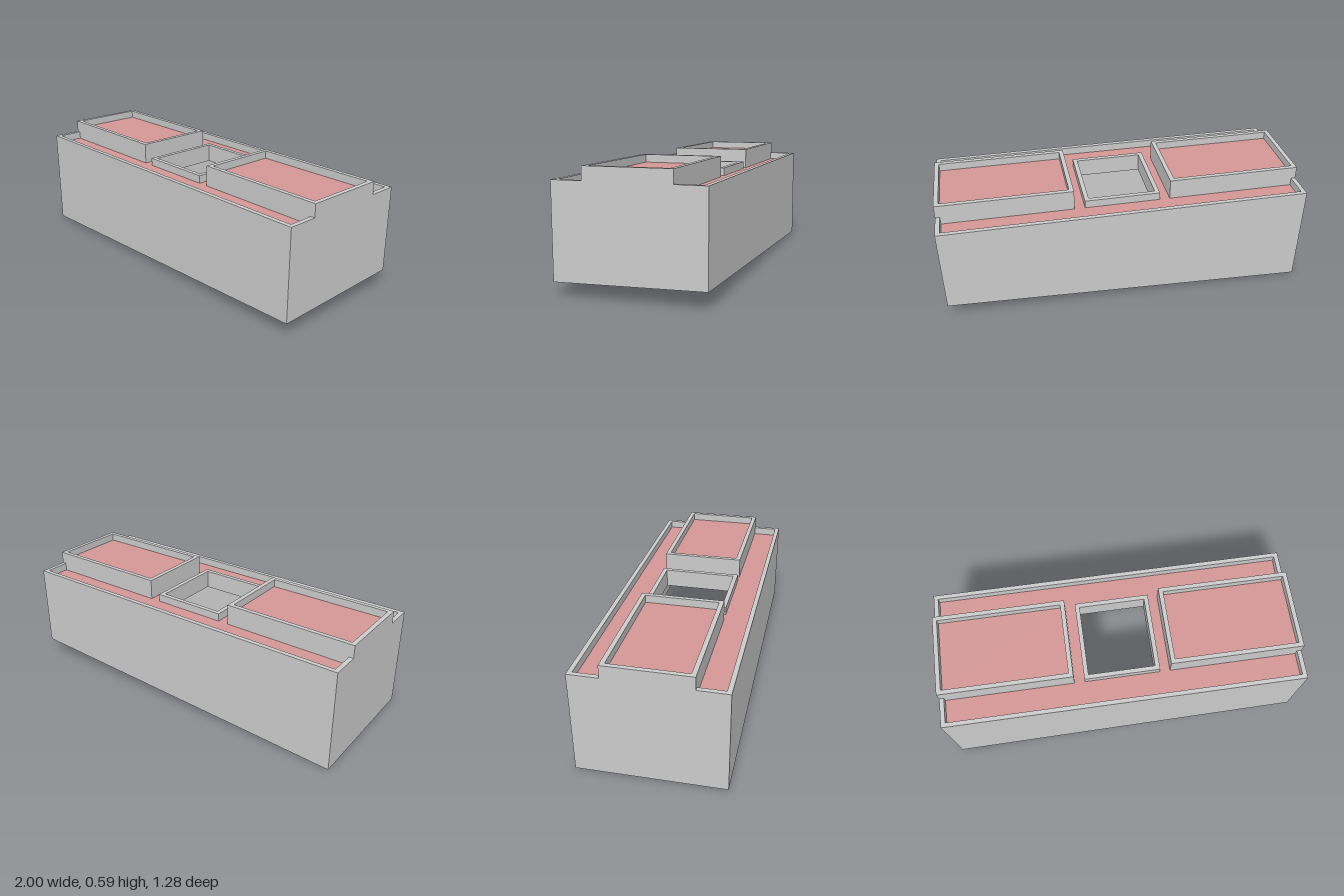
import * as THREE from 'three';

const grey = new THREE.MeshStandardMaterial({ color: 0xcccccc });
const greyThin = new THREE.MeshStandardMaterial({ color: 0xcccccc, side: THREE.DoubleSide });
const red = new THREE.MeshStandardMaterial({ color: 0xd59797 });

const HL = 0.933, HW = 0.362; // half length and half width of the building
const T = 0.023;              // wall and parapet thickness
const WALL_TOP = 0.525, WALL_BASE = 0.085, ROOF = 0.485, CEILING = 0.43;
const BLOCK_TOP = 0.59, BLOCK_INNER = 0.248, BLOCK_HW = 0.211;
const COURT_HL = 0.195, COURT_HW = 0.211;

function rect(cx, hl, hw, type = THREE.Shape) {
  return new type([[-hl, -hw], [hl, -hw], [hl, hw], [-hl, hw]]
    .map(([x, y]) => new THREE.Vector2(cx + x, y)));
}

function addMesh(group, name, geometry, material) {
  const mesh = new THREE.Mesh(geometry, material);
  mesh.name = name;
  group.add(mesh);
  return mesh;
}

// Rectangular ring of wall thickness T, standing from y0 to y1
function addRing(group, name, cx, hl, hw, y0, y1) {
  const shape = rect(cx, hl, hw);
  shape.holes.push(rect(cx, hl - T, hw - T, THREE.Path));
  const g = new THREE.ExtrudeGeometry(shape, { depth: y1 - y0, bevelEnabled: false });
  g.rotateX(-Math.PI / 2).translate(0, y0, 0);
  return addMesh(group, name, g, grey);
}

// Flat horizontal surface facing up or down
function addSurface(group, name, shape, y, material, up = true) {
  const g = new THREE.ShapeGeometry(shape);
  g.rotateX(up ? -Math.PI / 2 : Math.PI / 2).translate(0, y, 0);
  return addMesh(group, name, g, material);
}

export function createModel() {
  const model = new THREE.Group();
  model.name = 'building';
  const body = new THREE.Group();
  body.name = 'buildingBody';
  body.rotation.y = -0.324;
  model.add(body);

  // Hollow outer walls with parapet
  addRing(body, 'outerWalls', 0, HL, HW, WALL_BASE, WALL_TOP);

  // Thin skirt following the sloping ground
  const corners = [[-HL, HW, 0.005], [HL, HW, 0.066], [HL, -HW, 0.083], [-HL, -HW, 0]];
  const pos = [], index = [];
  corners.forEach(([x, z, y], i) => {
    const [x2, z2, y2] = corners[(i + 1) % 4];
    pos.push(x, y, z, x2, y2, z2, x2, WALL_BASE, z2, x, WALL_BASE, z);
    index.push(...[0, 1, 2, 0, 2, 3].map((k) => k + i * 4));
  });
  const skirt = new THREE.BufferGeometry();
  skirt.setAttribute('position', new THREE.Float32BufferAttribute(pos, 3));
  skirt.setIndex(index);
  skirt.computeVertexNormals();
  addMesh(body, 'groundSkirt', skirt, greyThin);

  // Main roof and ceiling, open over the courtyard
  const roofShape = rect(0, HL - T, HW - T);
  roofShape.holes.push(rect(0, COURT_HL - T / 2, COURT_HW - T / 2, THREE.Path));
  addSurface(body, 'mainRoof', roofShape, ROOF, red);
  addSurface(body, 'ceiling', roofShape, CEILING, grey, false);

  // Courtyard opening
  addRing(body, 'courtyardCurb', 0, COURT_HL, COURT_HW, CEILING, WALL_TOP);

  // Raised roof block at each end
  const blockHL = (HL - BLOCK_INNER) / 2;
  for (const [side, name] of [[-1, 'right'], [1, 'left']]) {
    const cx = side * (HL + BLOCK_INNER) / 2;
    addRing(body, name + 'BlockWalls', cx, blockHL, BLOCK_HW, ROOF, BLOCK_TOP);
    addSurface(body, name + 'BlockRoof', rect(cx, blockHL - T, BLOCK_HW - T), BLOCK_TOP - 0.04, red);
  }
  return model;
}
